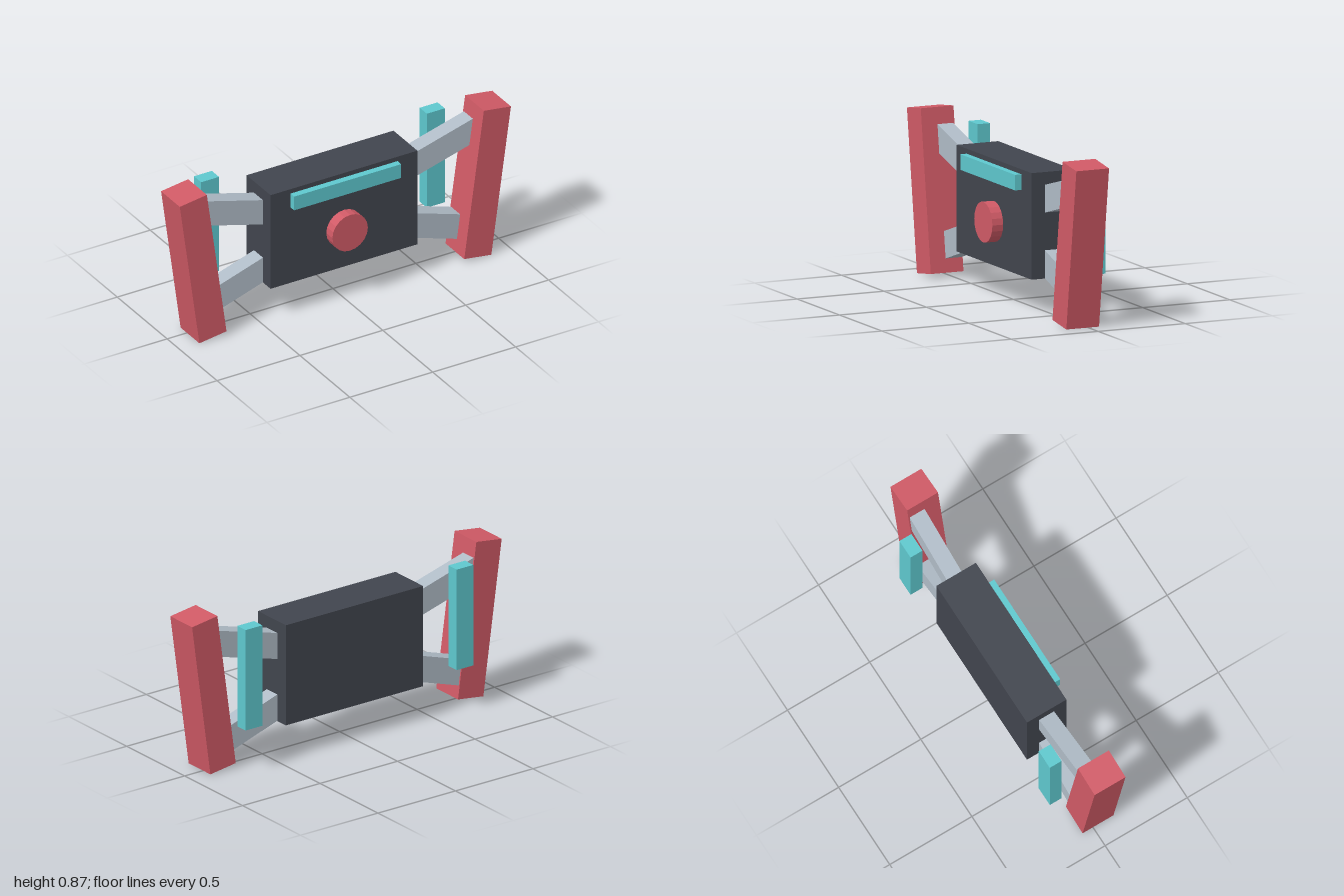
import * as THREE from 'three';

export function createModel() {
  const model = new THREE.Group();
  const material = (name, color) => {
    const m = new THREE.MeshStandardMaterial({ color });
    m.name = name;
    return m;
  };
  const red = material('red', 0xd05a66);
  const dark = material('charcoal', 0x41454e);
  const grey = material('steel grey', 0xb0bcc7);
  const cyan = material('cyan', 0x5ec8ce);

  function box(name, mat, size, pos, tilt = 0) {
    const mesh = new THREE.Mesh(new THREE.BoxGeometry(...size), mat);
    mesh.name = name;
    mesh.position.set(...pos);
    mesh.rotation.z = tilt;
    model.add(mesh);
    return mesh;
  }

  // Central housing with front light strip
  box('body', dark, [0.886, 0.56, 0.24], [0, 0.467, -0.009]);
  box('lightStrip', cyan, [0.646, 0.082, 0.05], [0, 0.68, 0.123]);

  // Round front button, faceted
  const buttonGeometry = new THREE.CylinderGeometry(0.107, 0.107, 0.08, 20).toNonIndexed();
  buttonGeometry.computeVertexNormals();
  const button = new THREE.Mesh(buttonGeometry, red);
  button.name = 'frontButton';
  button.rotation.x = Math.PI / 2;
  button.position.set(0, 0.42, 0.133);
  model.add(button);

  // Mirrored side assemblies
  for (const [side, s] of [['left', 1], ['right', -1]]) {
    // Leaning outer rail
    box(side + 'Rail', red, [0.165, 0.86, 0.188], [s * 0.858, 0.437, 0.031], -s * 0.138);

    // Struts run from inside the body into the rail
    const strut = (name, y, angle, x0, x1) => {
      const mid = (x0 + x1) / 2;
      const length = (x1 - x0) / Math.cos(angle);
      box(side + name, grey, [length, 0.14, 0.09],
        [s * mid, y + (mid - 0.443) * Math.tan(angle), -0.01], s * angle);
    };
    strut('UpperStrut', 0.607, 0.272, 0.38, 0.86);
    strut('LowerStrut', 0.262, -0.315, 0.38, 0.78);

    // Upright panel behind the struts
    box(side + 'RearPanel', cyan, [0.108, 0.562, 0.072], [s * 0.681, 0.526, -0.136]);
  }
  return model;
}
